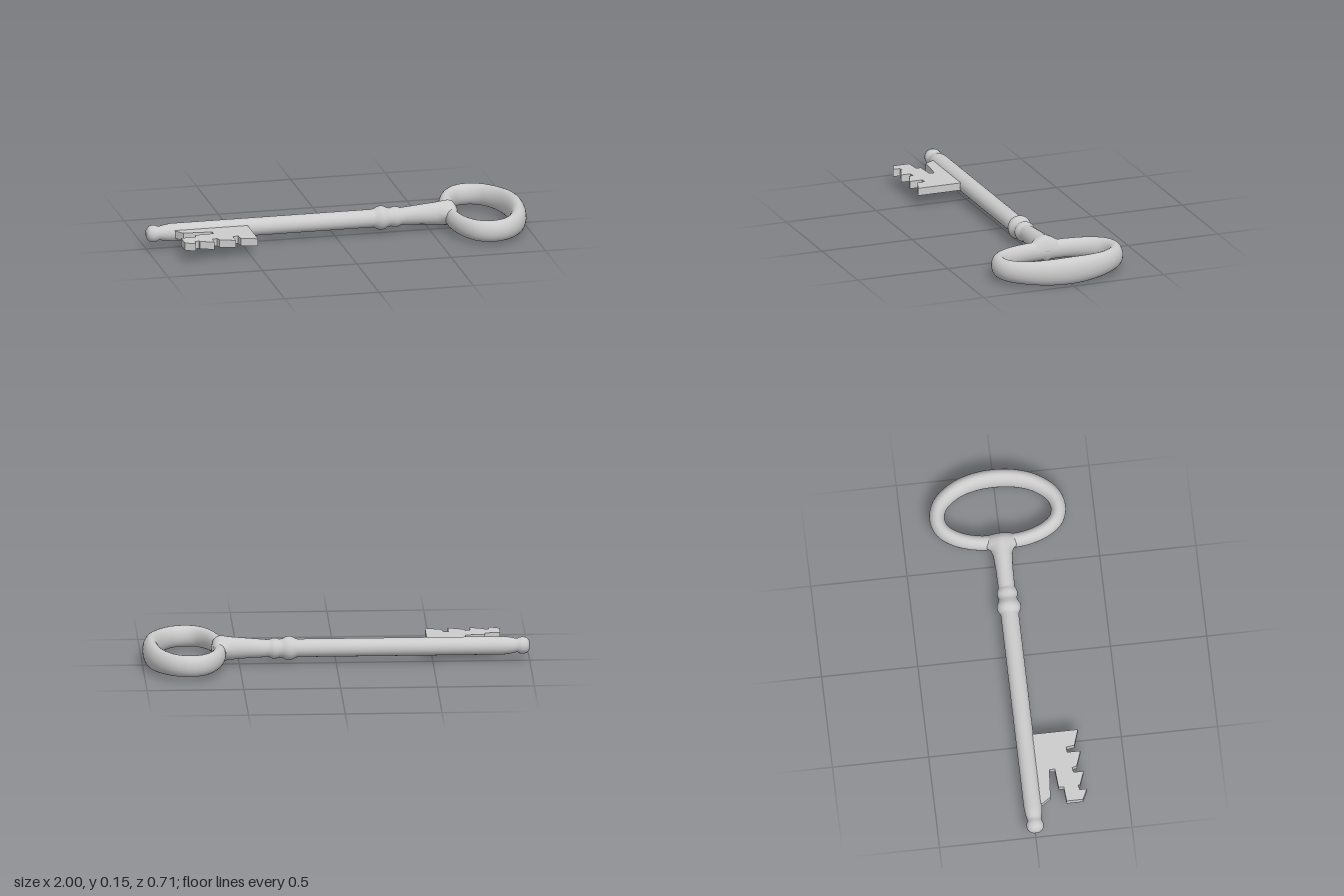
import * as THREE from 'three';

const material = new THREE.MeshStandardMaterial({ color: 0xcccccc });
const AXIS = 0.085; // height of the shaft axis

function addMesh(group, name, geometry) {
  const mesh = new THREE.Mesh(geometry, material);
  mesh.name = name;
  group.add(mesh);
  return mesh;
}

// Skin a list of equal cross-sections, optionally joining the last to the first.
function loft(sections, closed) {
  const n = sections[0].length;
  const rows = sections.length;
  const index = [];
  for (let i = 0; i < (closed ? rows : rows - 1); i++) {
    for (let j = 0; j < n; j++) {
      const k = (j + 1) % n;
      const next = (i + 1) % rows;
      const a = i * n + j, b = i * n + k, c = next * n + j, d = next * n + k;
      index.push(a, c, b, b, c, d);
    }
  }
  const geometry = new THREE.BufferGeometry().setFromPoints(sections.flat());
  geometry.setIndex(index);
  geometry.computeVertexNormals();
  return geometry;
}

// Upright oval section: half-width along `side`, half-height along y; power 1 is an ellipse.
function section(center, side, hw, hh, power = 1, n = 24) {
  const bend = (v) => Math.sign(v) * Math.abs(v) ** power;
  return Array.from({ length: n }, (_, j) => {
    const a = (j / n) * Math.PI * 2;
    const p = center.clone().addScaledVector(side, bend(Math.cos(a)) * hw);
    p.y += bend(Math.sin(a)) * hh;
    return p;
  });
}

function buildShaft() {
  // [position along x, radius]: rounded tip, long barrel, two collars
  const profile = [
    [-1, 0], [-0.998, 0.024], [-0.985, 0.04], [-0.965, 0.045], [-0.948, 0.042],
    [-0.937, 0.036], [-0.925, 0.037], [-0.9, 0.043], [-0.865, 0.047],
    [0.2, 0.047], [0.212, 0.051], [0.228, 0.06], [0.243, 0.063], [0.26, 0.06],
    [0.275, 0.051], [0.292, 0.047], [0.306, 0.052], [0.32, 0.054], [0.334, 0.051],
    [0.348, 0.044], [0.37, 0.043],
  ];
  const geometry = new THREE.LatheGeometry(profile.map(([x, r]) => new THREE.Vector2(r, x)), 32);
  return geometry.rotateZ(-Math.PI / 2).translate(0, AXIS, 0);
}

function buildNeck() {
  // [x, half-width, top, bottom, section power]: flares into the bow
  const rows = [
    [0.34, 0.043, 0.13, 0.041, 1], [0.45, 0.045, 0.14, 0.036, 1],
    [0.53, 0.05, 0.147, 0.03, 1], [0.56, 0.06, 0.151, 0.026, 1.15],
    [0.58, 0.085, 0.155, 0.022, 1.4], [0.6, 0.11, 0.157, 0.019, 1.6],
    [0.62, 0.11, 0.15, 0.022, 1.6], [0.638, 0.08, 0.128, 0.042, 1.3],
    [0.645, 0, 0.085, 0.085, 1],
  ];
  const side = new THREE.Vector3(0, 0, 1);
  return loft(rows.map(([x, hw, top, bottom, power]) =>
    section(new THREE.Vector3(x, (top + bottom) / 2, 0), side, hw, (top - bottom) / 2, power)), false);
}

function buildBow() {
  // [x, half-height, z] along half of the handle loop, then mirrored
  const half = [
    [0.608, 0.05, 0], [0.613, 0.05, 0.12], [0.648, 0.053, 0.23], [0.7, 0.055, 0.295],
    [0.765, 0.056, 0.315], [0.84, 0.057, 0.292], [0.907, 0.061, 0.215],
    [0.945, 0.068, 0.115], [0.957, 0.072, 0],
  ];
  const mirrored = half.slice(1, -1).reverse().map(([x, h, z]) => [x, h, -z]);
  const curve = new THREE.CatmullRomCurve3(
    [...half, ...mirrored].map((p) => new THREE.Vector3(...p)), true);
  const up = new THREE.Vector3(0, 1, 0);
  const steps = 80;
  const sections = [];
  for (let i = 0; i < steps; i++) {
    const p = curve.getPoint(i / steps);
    const t = curve.getTangent(i / steps).setY(0).normalize();
    const side = t.cross(up);
    const halfWidth = THREE.MathUtils.mapLinear(p.x, 0.608, 0.957, 0.036, 0.043);
    sections.push(section(new THREE.Vector3(p.x, 0.076 - p.z * 0.015, p.z), side, halfWidth, p.y));
  }
  return loft(sections, true);
}

function buildBit() {
  // Flat toothed plate with ward cuts, outlined in x and z
  const outline = [
    [-0.856, 0.03], [-0.856, 0.05], [-0.825, 0.096], [-0.675, 0.107], [-0.675, 0.135],
    [-0.775, 0.143], [-0.778, 0.17], [-0.856, 0.176], [-0.856, 0.262],
    [-0.803, 0.287], [-0.8, 0.25], [-0.777, 0.245], [-0.775, 0.255],
    [-0.703, 0.282], [-0.703, 0.23], [-0.677, 0.225], [-0.67, 0.25],
    [-0.59, 0.278], [-0.59, 0.209], [-0.562, 0.207], [-0.556, 0.25],
    [-0.472, 0.278], [-0.472, 0.03],
  ];
  const shape = new THREE.Shape(outline.map(([x, z]) => new THREE.Vector2(x, z)));
  const geometry = new THREE.ExtrudeGeometry(shape, { depth: 0.04, bevelEnabled: false });
  return geometry.rotateX(Math.PI / 2).translate(0, 0.106, 0);
}

export function createModel() {
  const key = new THREE.Group();
  key.name = 'key';
  addMesh(key, 'shaft', buildShaft());
  addMesh(key, 'neck', buildNeck());
  addMesh(key, 'bow', buildBow());
  addMesh(key, 'bit', buildBit());
  return key;
}
